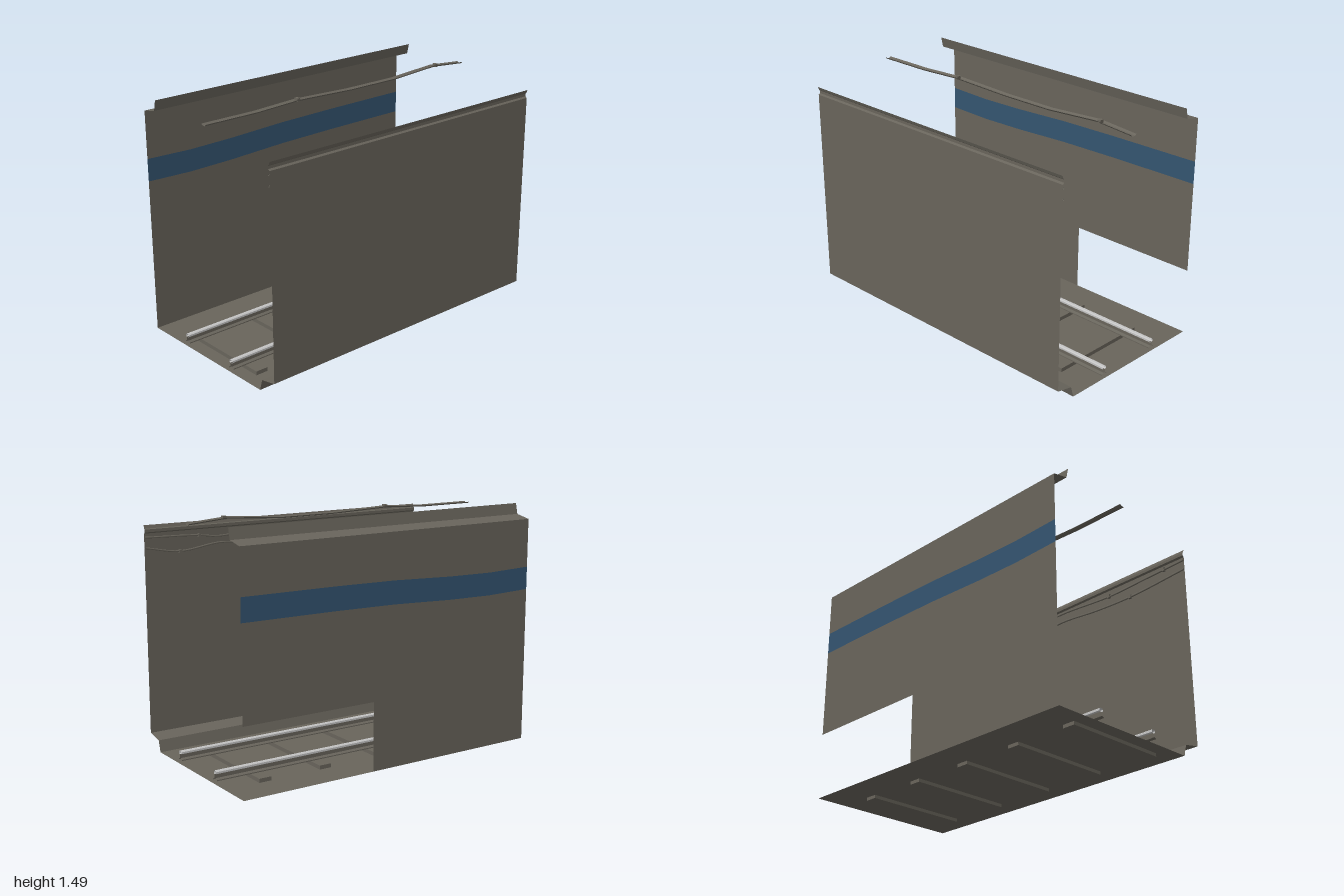
import * as THREE from 'three';

const mat = (name, color) => {
  const m = new THREE.MeshStandardMaterial({ color, side: THREE.DoubleSide });
  m.name = name;
  return m;
};

// Open sheet: the [x, y] section given by profile(z) swept through the listed z stations.
function sheet(profile, stations = [1, -1]) {
  const pos = [];
  for (let i = 0; i < stations.length - 1; i++) {
    const [z0, z1] = [stations[i], stations[i + 1]];
    const a = profile(z0), b = profile(z1);
    for (let j = 0; j < a.length - 1; j++) {
      const p = [...a[j], z0], q = [...a[j + 1], z0], r = [...b[j + 1], z1], s = [...b[j], z1];
      pos.push(...p, ...q, ...r, ...p, ...r, ...s);
    }
  }
  const g = new THREE.BufferGeometry();
  g.setAttribute('position', new THREE.Float32BufferAttribute(pos, 3));
  g.computeVertexNormals();
  return g;
}

// Height at z from a short list of [z, y] knots running from +1 to -1.
function heightAt(knots, z) {
  for (let i = 0; i < knots.length - 1; i++) {
    const [z0, y0] = knots[i], [z1, y1] = knots[i + 1];
    if (z <= z0 && z >= z1) return y0 + (y1 - y0) * (z0 - z) / (z0 - z1);
  }
  return knots[knots.length - 1][1];
}

export function createModel() {
  const root = new THREE.Group();
  root.name = 'tunnelSection';
  const concrete = mat('concrete', 0x68645b);
  const blue = mat('bluePaint', 0x345470);
  const steel = mat('railSteel', 0xc4c4c4);
  const add = (name, geo, m = concrete) => {
    const mesh = new THREE.Mesh(geo, m);
    mesh.name = name;
    root.add(mesh);
    return mesh;
  };

  // Floor, with its stepped kerb
  add('floor', sheet(() => [[-0.57, 0.02], [0.44, 0.02]]));
  add('kerb', sheet(() => [[0.44, 0.02], [0.46, 0.09], [0.567, 0.11]]));

  // Plain wall with a small moulding along its top
  add('plainWall', sheet(() => [[0.567, 0.11], [0.567, 1.335]]));
  add('wallMoulding', sheet(() => [[0.567, 1.335], [0.556, 1.343], [0.556, 1.36], [0.562, 1.365], [0.57, 1.385]]));

  // Striped wall: doorway gap in its lower part, painted band, inward ledge
  const X = -0.57, doorZ = -0.143, doorY = 0.435;
  const band = [1, 0.7, 0.4, 0, -0.4, -1];
  const bandKnots = [[1, 0.97], [0.7, 0.962], [0.4, 0.968], [0, 0.985], [-0.4, 0.992], [-1, 0.996]];
  const low = z => heightAt(bandKnots, z);
  add('stripedWallBase', sheet(() => [[X, 0.02], [X, doorY]], [1, doorZ]));
  add('stripedWallLower', sheet(z => [[X, doorY], [X, low(z)]], band));
  add('blueStripe', sheet(z => [[X, low(z)], [X, low(z) + 0.138]], band), blue);
  add('stripedWallUpper', sheet(z => [[X, low(z) + 0.138], [X, 1.4]], band));
  add('ledge', sheet(() => [[X, 1.4], [-0.47, 1.42], [-0.455, 1.485]]));

  // Sleepers
  for (let i = 0; i < 5; i++) {
    const s = add('sleeper', new THREE.BoxGeometry(0.665, 0.044, 0.078));
    s.position.set(-0.035, 0.022, 0.875 - i * 0.405);
  }

  // Rails: foot and web, then a rounded steel head
  const foot = [[-0.02, 0.044], [-0.02, 0.05], [-0.005, 0.058], [-0.005, 0.08]];
  const head = [[-0.005, 0.08], [-0.014, 0.084], [-0.014, 0.095], [-0.008, 0.1]];
  const mirror = half => half.map(([x, y]) => [-x, y]).reverse();
  for (const x of [-0.25, 0.175]) {
    for (const half of [foot, mirror(foot)]) add('railFoot', sheet(() => half)).position.x = x;
    add('railHead', sheet(() => [...head, ...mirror(head)]), steel).position.x = x;
  }

  // Overhead conductor: a shallow trough that rises to its hangers
  const wire = [[1, 1.448], [0.65, 1.448], [0.35, 1.461], [-0.05, 1.448], [-0.4, 1.448], [-0.75, 1.47], [-1, 1.45]];
  const wireZ = wire.map(k => k[0]);
  add('overheadConductor', sheet(z => {
    const y = heightAt(wire, z);
    return [[-0.014, y + 0.004], [-0.003, y - 0.004], [0.018, y - 0.004], [0.028, y + 0.006]];
  }, wireZ));
  for (const z of [0.35, -0.77]) {
    const h = add('hanger', new THREE.BoxGeometry(0.026, 0.02, 0.02));
    h.position.set(0.01, heightAt(wire, z) + 0.004, z);
  }

  // Two sagging cables with clips on the plain wall
  const cables = [
    { knots: [[1, 1.25], [0.58, 1.222], [0.3, 1.23], [0, 1.255], [-0.3, 1.232], [-0.5, 1.245], [-0.77, 1.213], [-1, 1.25]],
      clips: [0.58, -0.3, -0.77] },
    { knots: [[1, 1.312], [0.7, 1.3], [0.41, 1.29], [0, 1.315], [-0.3, 1.3], [-0.52, 1.285], [-0.64, 1.3], [-1, 1.312]],
      clips: [0.85, 0.41, -0.3, -0.64] },
  ];
  for (const { knots, clips } of cables) {
    const path = new THREE.CatmullRomCurve3(knots.map(([z, y]) => new THREE.Vector3(0.56, y, z)));
    add('wallCable', new THREE.TubeGeometry(path, 40, 0.006, 6));
    for (const z of clips) {
      const c = add('cableClip', new THREE.BoxGeometry(0.016, 0.024, 0.018));
      c.position.set(0.557, heightAt(knots, z), z);
    }
  }
  return root;
}
